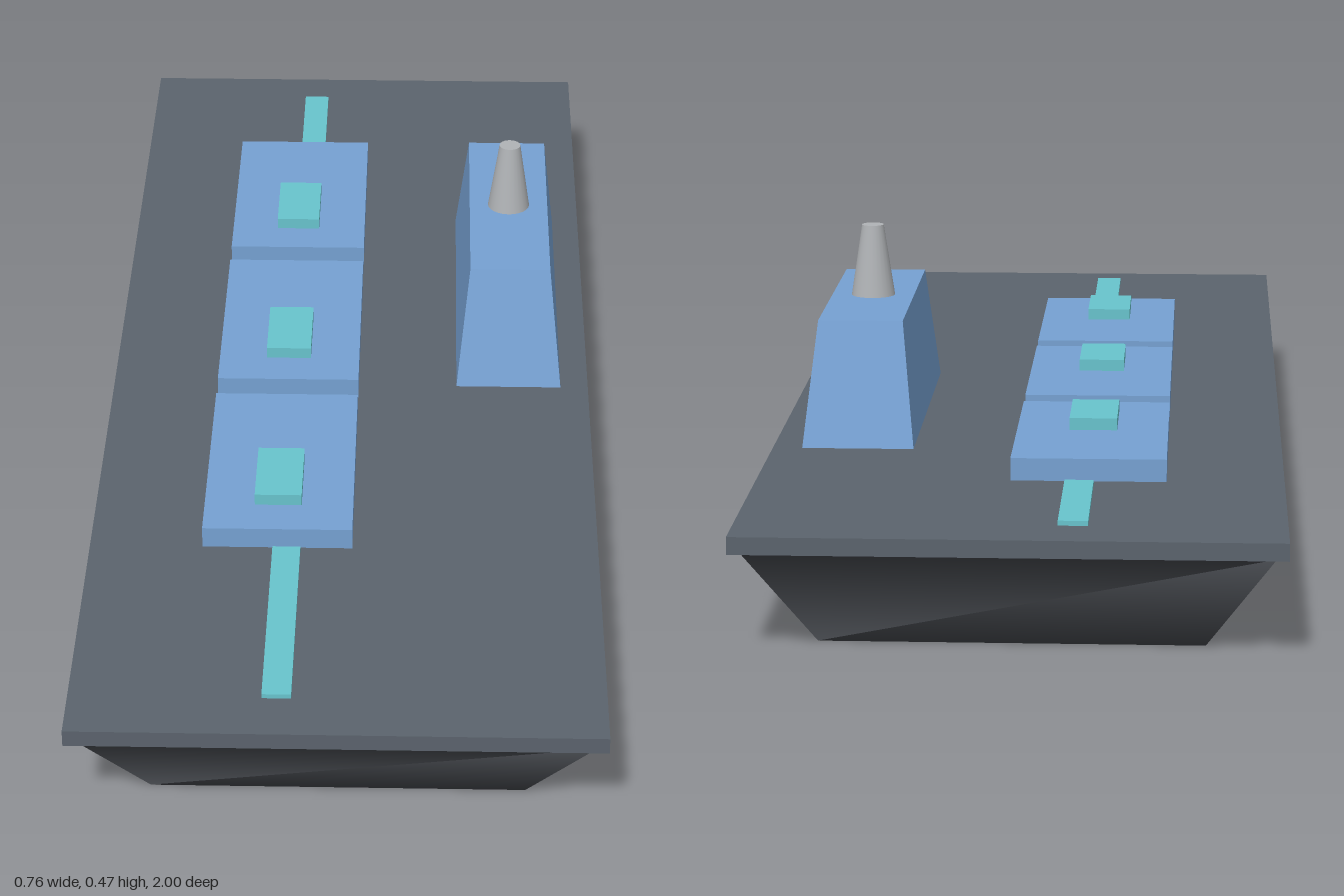
import * as THREE from 'three';

const mat = (name, color) => {
  const m = new THREE.MeshStandardMaterial({ color });
  m.name = name;
  return m;
};

// Box between y0 and y1 with separate bottom and top [x0, x1, z0, z1] rectangles
function taperedBox(y0, y1, bottom, top, smooth = false) {
  const ring = ([x0, x1, z0, z1], y) => [x0, y, z1, x1, y, z1, x1, y, z0, x0, y, z0];
  const index = [0, 2, 1, 0, 3, 2, 4, 5, 6, 4, 6, 7];
  for (let i = 0; i < 4; i++) {
    const j = (i + 1) % 4;
    index.push(i, j, j + 4, i, j + 4, i + 4);
  }
  let g = new THREE.BufferGeometry();
  g.setAttribute('position', new THREE.Float32BufferAttribute([...ring(bottom, y0), ...ring(top, y1)], 3));
  g.setIndex(index);
  if (!smooth) g = g.toNonIndexed();
  g.computeVertexNormals();
  return g;
}

export function createModel() {
  const model = new THREE.Group();
  model.name = 'carrierShip';
  const hullMat = mat('dark hull grey', 0x43464b);
  const deckMat = mat('deck grey', 0x5b636d);
  const blueMat = mat('steel blue', 0x76a1d2);
  const tealMat = mat('teal', 0x68c4cd);
  const funnelMat = mat('light grey', 0xb0b3b6);

  const add = (name, geometry, material) => {
    const mesh = new THREE.Mesh(geometry, material);
    mesh.name = name;
    model.add(mesh);
    return mesh;
  };
  const block = (name, material, x0, x1, y0, y1, z0, z1) =>
    add(name, new THREE.BoxGeometry(x1 - x0, y1 - y0, z1 - z0), material)
      .position.set((x0 + x1) / 2, (y0 + y1) / 2, (z0 + z1) / 2);

  // Hull with softly shaded sides, and the flat deck
  add('hull', taperedBox(0, 0.15, [-0.27, 0.27, -0.895, 0.895], [-0.365, 0.365, -0.99, 0.99], true), hullMat);
  block('deck', deckMat, -0.382, 0.382, 0.15, 0.175, -1, 1);

  // Runway stripe, landing pads and the raised block on each pad
  block('runwayStripe', tealMat, -0.107, -0.065, 0.174, 0.182, -0.917, 0.917);
  for (const z of [-0.49, -0.065, 0.36]) {
    block('landingPad', blueMat, -0.212, 0.013, 0.18, 0.213, z - 0.19, z + 0.19);
    block('padBlock', tealMat, -0.136, -0.065, 0.212, 0.231, z - 0.005, z + 0.125);
  }

  // Control tower and funnel
  add('tower', taperedBox(0.174, 0.359, [0.17, 0.338, -0.47, 0.08], [0.19, 0.318, -0.41, 0.02]), blueMat);
  add('funnel', new THREE.CylinderGeometry(0.017, 0.034, 0.111, 24), funnelMat)
    .position.set(0.254, 0.4145, -0.195);

  return model;
}
